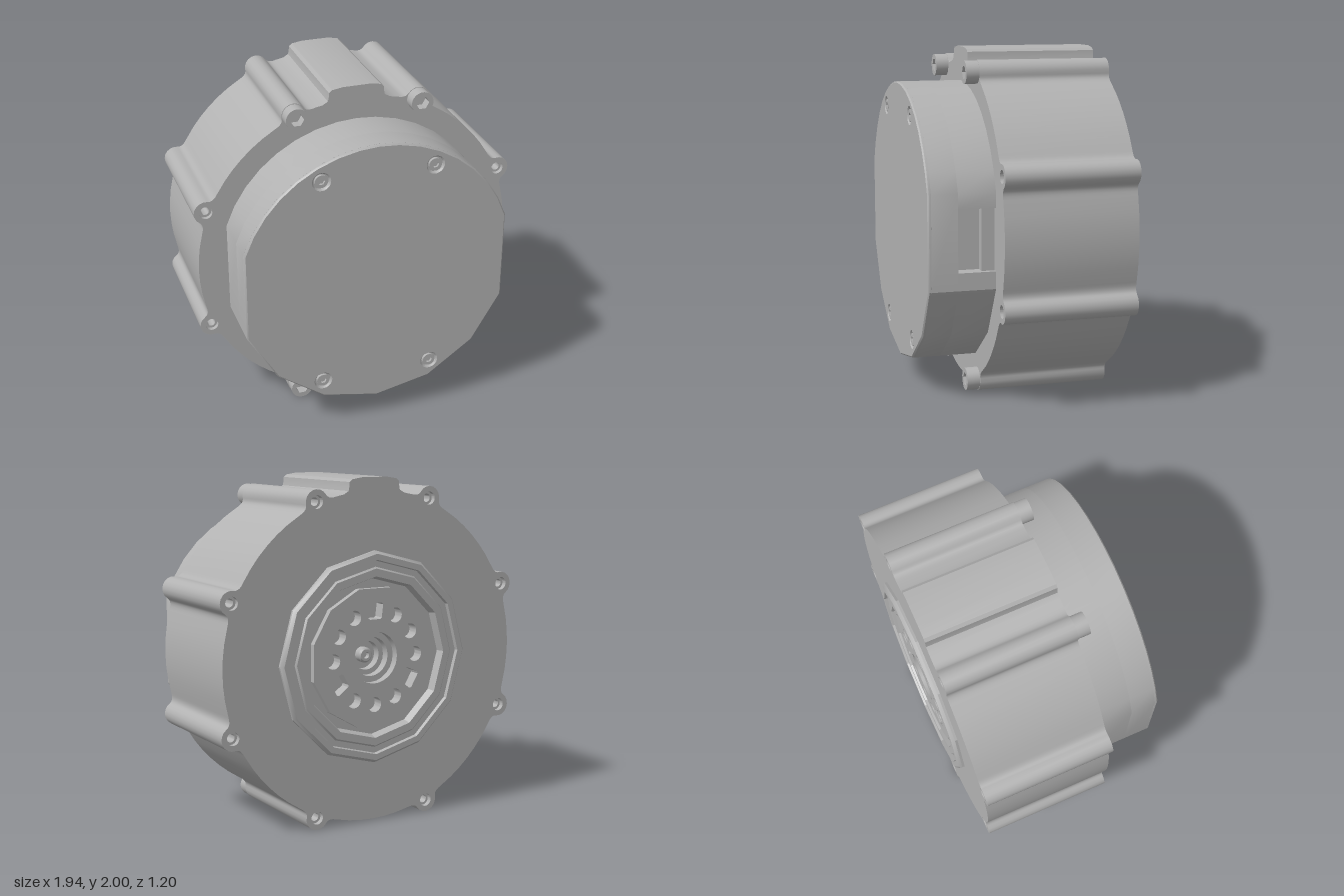
import * as THREE from 'three';
import { toCreasedNormals } from 'three/addons/utils/BufferGeometryUtils.js';

const CY = 0.97; // height of the motor axis
const rad = THREE.MathUtils.degToRad;
const polar = (r, deg) => new THREE.Vector2(r * Math.cos(rad(deg)), r * Math.sin(rad(deg)));

export function createModel() {
  const group = new THREE.Group();
  const metal = new THREE.MeshStandardMaterial({ color: 0xb2b2b2 });
  metal.name = 'greyMetal';

  function add(name, geo, x = 0, y = CY, z = 0, crease = 0.45) {
    const mesh = new THREE.Mesh(toCreasedNormals(geo, crease), metal);
    mesh.name = name;
    mesh.position.set(x, y, z);
    group.add(mesh);
    return mesh;
  }
  const extrude = (shape, depth, extra = {}) =>
    new THREE.ExtrudeGeometry(shape, { depth, bevelEnabled: false, curveSegments: 20, ...extra });
  const circle = (x, y, r) => new THREE.Path().absarc(x, y, r, 0, Math.PI * 2, true);
  const polygon = (r, n, start = 0) =>
    Array.from({ length: n }, (_, i) => polar(r, start + (i * 360) / n));
  const disc = (r, holes = []) => {
    const s = new THREE.Shape().absarc(0, 0, r, 0, Math.PI * 2, false);
    s.holes.push(...holes);
    return s;
  };
  // Lathe about the motor axis; heights are measured towards the back
  const backLathe = (points, n) =>
    new THREE.LatheGeometry(points.map(([r, h]) => new THREE.Vector2(r, h)), n).rotateX(-Math.PI / 2);

  // Cap screw with a hex socket
  function screw(name, x, y, z, r, height, hex) {
    add(name, extrude(disc(r, [new THREE.Path(polygon(hex, 6).reverse())]), height), x, y, z);
    add(name + 'Socket', new THREE.CircleGeometry(hex * 1.1, 12), x, y, z + height * 0.35);
  }

  // Main housing: round body with eight filleted bolt lobes and a top tab
  const R = 0.96, D = 0.975, L = 0.07;
  const lobes = Array.from({ length: 8 }, (_, k) => 22.5 + 45 * k);
  const outline = [];
  const fillet = (a, b, c) => outline.push(...new THREE.QuadraticBezierCurve(a, b, c).getPoints(5));
  for (const a of lobes) {
    const c = polar(D, a);
    const onLobe = (t) => polar(L, a + t).add(c);
    fillet(polar(R, a - 7.5), polar(R, a - 4.5), onLobe(-80));
    for (let t = -60; t <= 60; t += 20) outline.push(onLobe(t));
    fillet(onLobe(80), polar(R, a + 4.5), polar(R, a + 7.5));
    if (a === 67.5) {
      const tab = [[0.2, 0.937], [0.17, 0.955], [0.165, 0.98], [0.163, 1.005], [0.145, 1.02], [0.08, 1.03]];
      tab.forEach(([x, y]) => outline.push(new THREE.Vector2(x, y)));
      tab.reverse().forEach(([x, y]) => outline.push(new THREE.Vector2(-x, y)));
    } else {
      for (let t = 13; t < 36; t += 4.75) outline.push(polar(R, a + t));
    }
  }
  const housing = new THREE.Shape(outline);
  housing.holes.push(circle(0, 0, 0.55));
  lobes.forEach((a) => { const p = polar(D, a); housing.holes.push(circle(p.x, p.y, 0.038)); });
  add('housing', extrude(housing, 0.775), 0, CY, -0.56);

  // Threaded sleeves in the lobes, and cap screws in the top and bottom ones
  for (const a of lobes) {
    const p = polar(D, a);
    add('boltSleeve', extrude(disc(0.039, [circle(0, 0, 0.024)]), 0.72), p.x, CY + p.y, -0.53);
    if (Math.abs(p.y) > 0.6) screw('housingScrew', p.x, CY + p.y, 0.2, 0.066, 0.09, 0.04);
  }

  // Front cover: circle cut flat on both sides, coarser below
  const right = [-90, -66.3, -42.6, -19, 19, 28, 37, 46, 55, 64, 73, 82].map((a) => polar(0.83, a));
  const left = right.slice(1).reverse().map((p) => new THREE.Vector2(-p.x, p.y));
  const coverOutline = [...right, polar(0.83, 90), ...left];
  const notch = [[0.785, -0.17], [0.7, -0.17], [0.7, 0.185], [0.785, 0.185]]
    .map(([x, y]) => new THREE.Vector2(x, y));
  const notched = [...coverOutline.slice(0, 4), ...notch, ...coverOutline.slice(4)];
  add('coverBase', extrude(new THREE.Shape(notched), 0.215), 0, CY, 0.215);
  add('cover', extrude(new THREE.Shape(coverOutline), 0.15), 0, CY, 0.43);
  add('connectorStep', new THREE.BoxGeometry(0.06, 0.355, 0.075), 0.725, CY + 0.0075, 0.2525);

  // Lid with softened rim and four recessed screws
  const lid = new THREE.Shape(coverOutline.map((p) => p.clone().multiplyScalar(0.99)));
  const lidScrews = [[-0.335, 0.66], [0.335, 0.66], [-0.335, -0.65], [0.335, -0.65]];
  lidScrews.forEach(([x, y]) => lid.holes.push(circle(x, y, 0.055)));
  add('lid', extrude(lid, 0.012, {
    bevelEnabled: true, bevelThickness: 0.008, bevelSize: 0.008, bevelSegments: 1,
  }), 0, CY, 0.58);
  lidScrews.forEach(([x, y]) => screw('lidScrew', x, CY + y, 0.575, 0.038, 0.022, 0.02));

  // Stepped bearing ring on the back
  add('bearingRing', backLathe([
    [0.617, 0.55], [0.617, 0.575], [0.6, 0.595], [0.565, 0.595], [0.56, 0.575], [0.525, 0.575],
    [0.515, 0.585], [0.47, 0.585], [0.455, 0.54], [0.38, 0.54],
  ], 12));

  // Output hub: nine bolt holes and three slots
  const hub = new THREE.Shape(polygon(0.415, 12, 15));
  hub.holes.push(circle(0, 0, 0.15));
  for (let i = 0; i < 12; i++) {
    const a = i * 30;
    if (i % 4 === 3) {
      hub.holes.push(new THREE.Path([
        polar(0.225, a - 9), polar(0.235, a - 11), polar(0.31, a - 10), polar(0.32, a - 8),
        polar(0.32, a + 8), polar(0.31, a + 10), polar(0.235, a + 11), polar(0.225, a + 9),
      ].reverse()));
    } else {
      const p = polar(0.275, a);
      hub.holes.push(circle(p.x, p.y, 0.044));
    }
  }
  add('outputHub', extrude(hub, 0.075), 0, CY, -0.575);
  add('hubFloor', new THREE.RingGeometry(0.14, 0.41, 24).rotateY(Math.PI), 0, CY, -0.505);

  // Central stepped bore and shaft end
  add('centreBore', backLathe([
    [0.15, 0.575], [0.15, 0.53], [0.115, 0.53], [0.115, 0.48], [0.085, 0.48], [0.085, 0.43], [0, 0.43],
  ], 24));
  add('shaftEnd', backLathe([
    [0.045, 0.42], [0.045, 0.47], [0.035, 0.48], [0.02, 0.48], [0.02, 0.45], [0, 0.45],
  ], 20));

  return group;
}
